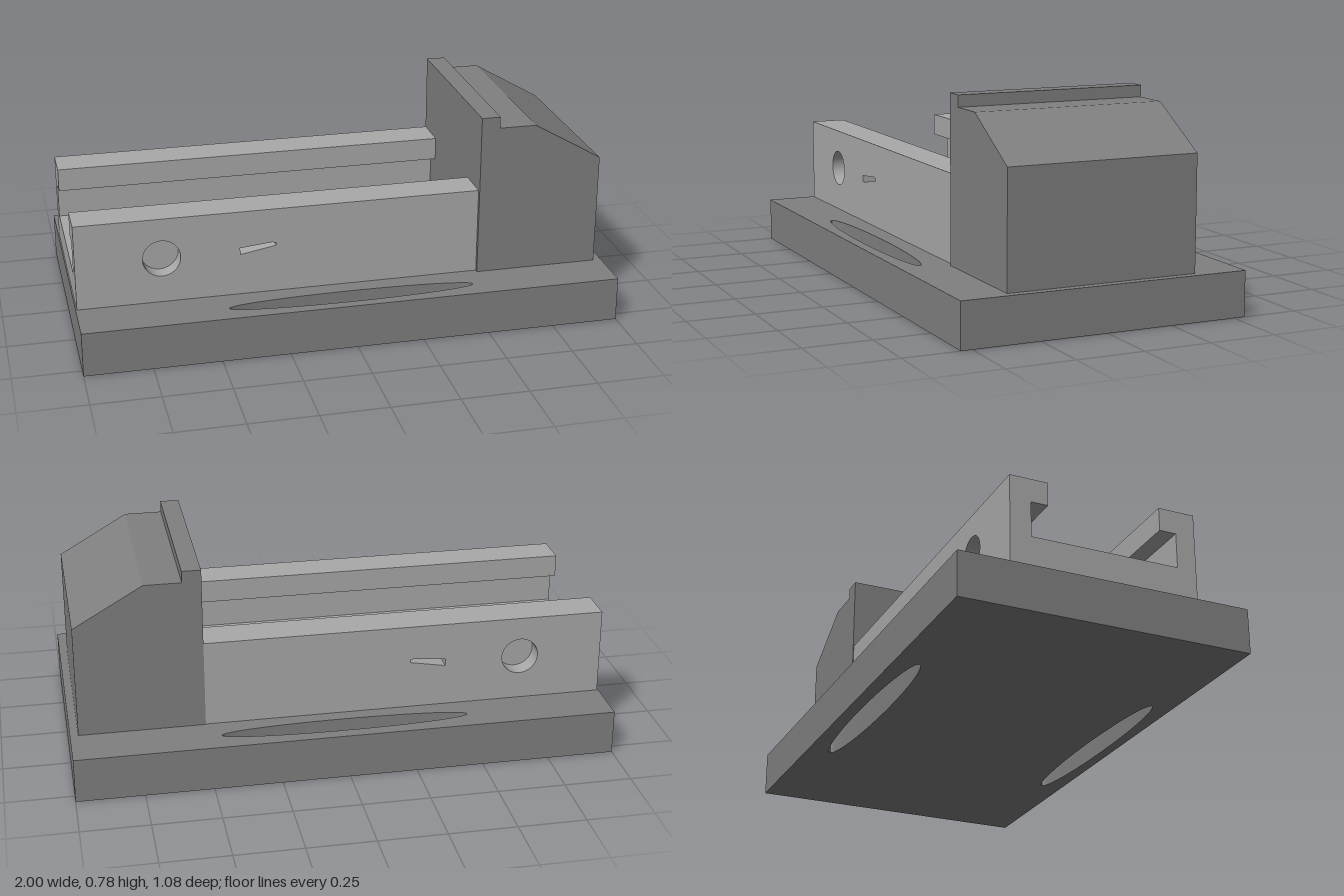
import * as THREE from 'three';
import { toCreasedNormals } from 'three/addons/utils/BufferGeometryUtils.js';

const darkGrey = new THREE.MeshStandardMaterial({ color: 0x808080 });
const lightGrey = new THREE.MeshStandardMaterial({ color: 0xa9a9a9 });

function polygon(points) {
  return new THREE.Shape(points.map(([x, y]) => new THREE.Vector2(x, y)));
}

function ellipsePath(x, y, rx, ry) {
  return new THREE.Path().absellipse(x, y, rx, ry, 0, Math.PI * 2, true);
}

function extrude(shape, depth) {
  const geometry = new THREE.ExtrudeGeometry(shape, { depth, bevelEnabled: false, curveSegments: 40 });
  return toCreasedNormals(geometry, 0.4);
}

export function createModel() {
  const group = new THREE.Group();
  const add = (name, geometry, material) => {
    const mesh = new THREE.Mesh(geometry, material);
    mesh.name = name;
    group.add(mesh);
  };

  const baseTop = 0.167, railTop = 0.492;
  const railLeft = -0.995, railRight = 0.505;

  // Base plate with two long elliptical slots cut through it
  const plate = polygon([[-1, -0.542], [1, -0.542], [1, 0.542], [-1, 0.542]]);
  for (const z of [-0.451, 0.459]) plate.holes.push(ellipsePath(0, -z, 0.458, 0.044));
  add('basePlate', extrude(plate, baseTop).rotateX(-Math.PI / 2), darkGrey);

  // Channel bed: undercut slot profile swept along x
  const floor = 0.275, lip = 0.405, opening = 0.212, inner = 0.275, outer = 0.285;
  const bed = polygon([
    [-outer, baseTop], [outer, baseTop], [outer, railTop], [opening, railTop],
    [opening, lip], [inner, lip], [inner, floor], [-inner, floor],
    [-inner, lip], [-opening, lip], [-opening, railTop], [-outer, railTop],
  ]);
  const bedGeometry = extrude(bed, railRight - railLeft).rotateY(Math.PI / 2);
  add('channelBed', bedGeometry.translate(railLeft, 0, 0), lightGrey);

  // Side walls of the channel, each with a round pocket and a small wedge pocket
  const wall = polygon([[railLeft, baseTop], [railRight, baseTop], [railRight, railTop], [railLeft, railTop]]);
  wall.holes.push(ellipsePath(-0.682, 0.338, 0.069, 0.069));
  wall.holes.push(polygon([[-0.395, 0.324], [-0.395, 0.35], [-0.275, 0.362], [-0.262, 0.358], [-0.262, 0.348]]));
  const frontThickness = 0.063, backThickness = 0.068;
  add('frontWall', extrude(wall, frontThickness).translate(0, 0, outer), lightGrey);
  add('backWall', extrude(wall, backThickness).translate(0, 0, -outer - backThickness), lightGrey);

  // Fixed jaw with a raised lip and a sloping back
  const jaw = polygon([
    [railRight, baseTop], [0.97, baseTop], [0.97, 0.588], [0.713, 0.737],
    [0.575, 0.737], [0.575, 0.78], [railRight, 0.78],
  ]);
  add('fixedJaw', extrude(jaw, 0.718).translate(0, 0, -0.356), darkGrey);

  return group;
}
